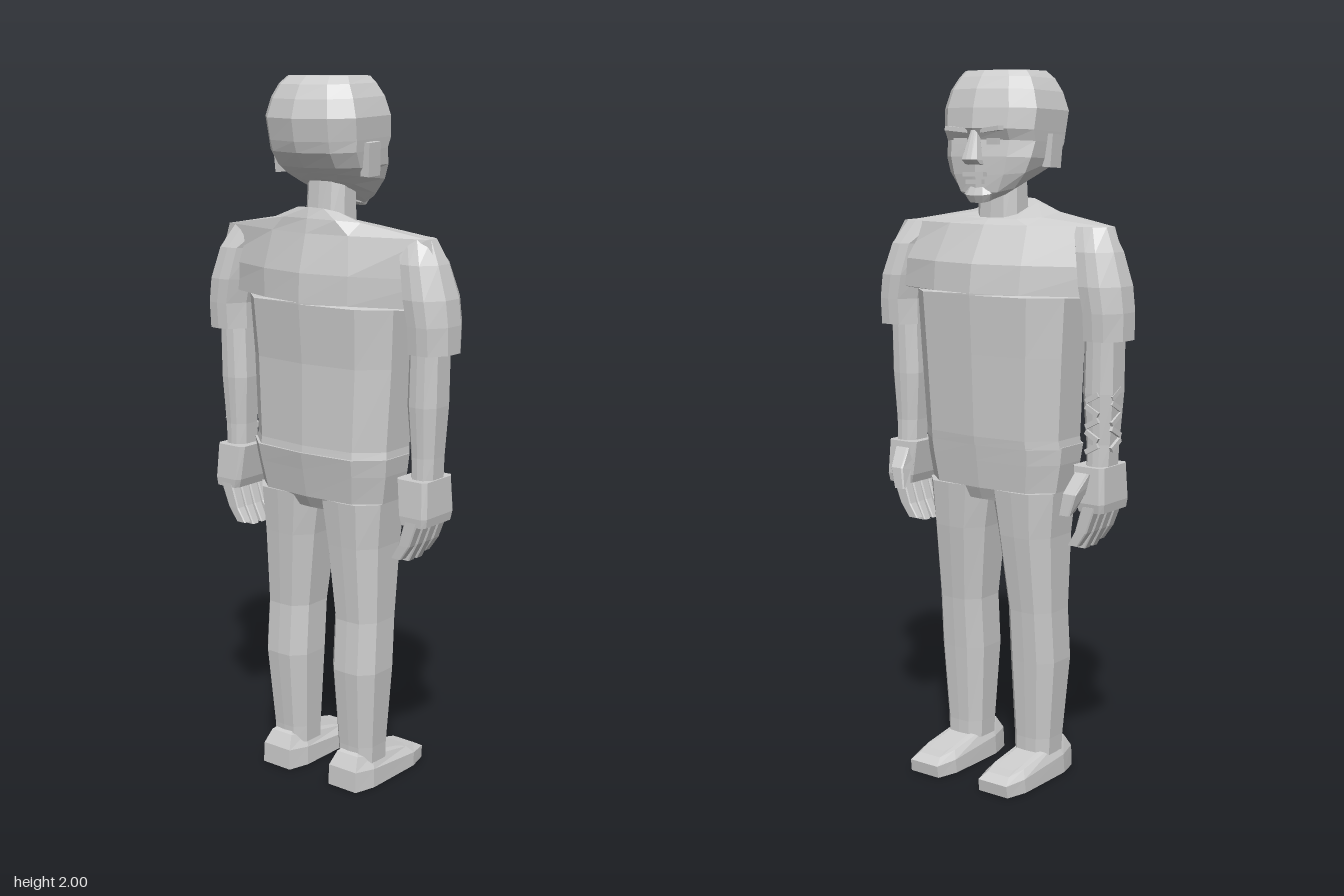
import * as THREE from 'three';

const grey = new THREE.MeshStandardMaterial({ color: 0xcccccc, flatShading: true });
grey.name = 'plain grey';

// Lofts ten-sided sections, listed from bottom to top.
// Section: [y at front, y at back, centre x, half width, z front, z back]
// Shape: [flat width, depth at the flat's ends, depth of the side], as fractions
function loft(name, sections, shape = [0.6, 0.92, 0.45], s = 1) {
  const pos = [], idx = [], N = 10;
  sections.forEach(([yf, yb, cx, hw, zf, zb, own]) => {
    const [kx, ke, kz] = own || shape;
    const half = [[0, 1], [kx, ke], [1, kz], [1, -kz], [kx, -ke], [0, -1]];
    const ring = half.concat([[-kx, -ke], [-1, -kz], [-1, kz], [-kx, ke]]);
    for (const [u, v] of ring) {
      const t = (v + 1) / 2;
      pos.push(s * cx + u * hw, yf + (yb - yf) * t, zf + (zb - zf) * t);
    }
  });
  const last = sections.length - 1;
  for (let i = 0; i < last; i++) for (let j = 0; j < N; j++) {
    const a = i * N + j, b = i * N + (j + 1) % N;
    idx.push(a, b, b + N, a, b + N, a + N);
  }
  for (let j = 1; j < N - 1; j++) {
    idx.push(0, j + 1, j);
    idx.push(last * N, last * N + j, last * N + j + 1);
  }
  const g = new THREE.BufferGeometry();
  g.setAttribute('position', new THREE.Float32BufferAttribute(pos, 3));
  g.setIndex(idx);
  const flat = g.toNonIndexed();
  flat.computeVertexNormals();
  const m = new THREE.Mesh(flat, grey);
  m.name = name;
  return m;
}

function box(name, size, at, rot = [0, 0, 0]) {
  const m = new THREE.Mesh(new THREE.BoxGeometry(...size), grey);
  m.name = name;
  m.position.set(...at);
  m.rotation.set(...rot);
  return m;
}

const BLOCK = [0.8, 1, 0.8];

function makeHead() {
  const head = new THREE.Group();
  head.name = 'head';
  head.add(loft('skull', [
    [1.65, 1.72, 0, 0.06, -0.085, 0.07],
    [1.67, 1.73, 0, 0.095, -0.1, 0.09],
    [1.72, 1.745, 0, 0.128, -0.104, 0.115],
    [1.77, 1.76, 0, 0.144, -0.106, 0.14],
    [1.815, 1.8, 0, 0.15, -0.1, 0.17],
    [1.845, 1.83, 0, 0.153, -0.118, 0.18],
    [1.9, 1.89, 0, 0.157, -0.112, 0.19],
    [1.95, 1.94, 0, 0.142, -0.097, 0.176],
    [1.983, 1.978, 0, 0.122, -0.075, 0.155],
    [2, 2, 0, 0.104, -0.06, 0.128],
  ], [0.66, 0.86, 0.5]));
  // Face
  head.add(loft('nose', [
    [1.752, 1.745, 0, 0.026, -0.125, -0.09],
    [1.762, 1.76, 0, 0.026, -0.145, -0.09],
    [1.84, 1.84, 0, 0.01, -0.115, -0.09],
  ]));
  head.add(box('upperLip', [0.07, 0.012, 0.02], [0, 1.722, -0.104]));
  head.add(box('lowerLip', [0.055, 0.012, 0.02], [0, 1.702, -0.102]));
  head.add(loft('chinBeard', [
    [1.645, 1.66, 0, 0.035, -0.1, -0.05],
    [1.665, 1.68, 0, 0.045, -0.11, -0.05],
    [1.688, 1.69, 0, 0.035, -0.1, -0.05],
  ]));
  for (const s of [1, -1]) {
    head.add(box('brow', [0.07, 0.012, 0.02], [s * 0.058, 1.842, -0.106], [0, s * 0.15, s * 0.1]));
    head.add(box('eye', [0.042, 0.018, 0.01], [s * 0.055, 1.81, -0.095], [0, s * 0.15, 0]));
    head.add(box('ear', [0.028, 0.09, 0.05], [s * 0.152, 1.785, 0.045], [0.05, 0, s * -0.06]));
  }
  return head;
}

function makeShirt() {
  const shirt = new THREE.Group();
  shirt.name = 'shirt';
  const wide = [0.38, 0.82, 0.2], body = [0.7, 0.88, 0.4];
  shirt.add(loft('shirtBody', [
    [0.975, 0.975, 0, 0.235, -0.11, 0.155],
    [1.0, 1.0, 0, 0.232, -0.113, 0.152],
    [1.23, 1.23, 0, 0.245, -0.123, 0.152],
    [1.395, 1.395, 0, 0.255, -0.132, 0.165],
    [1.4, 1.4, 0, 0.385, -0.132, 0.165, wide],
    [1.48, 1.48, 0, 0.39, -0.122, 0.162, wide],
    [1.585, 1.585, 0, 0.35, -0.065, 0.135, wide],
    [1.6, 1.625, 0, 0.15, -0.045, 0.128, [0.6, 0.9, 0.5]],
    [1.605, 1.655, 0, 0.075, -0.025, 0.12, [0.6, 0.9, 0.5]],
  ], body));
  for (const s of [1, -1]) {
    shirt.add(loft('sleeve', [
      [1.285, 1.285, 0.354, 0.064, -0.055, 0.105],
      [1.36, 1.36, 0.354, 0.064, -0.06, 0.11],
      [1.43, 1.43, 0.342, 0.068, -0.062, 0.112],
      [1.52, 1.52, 0.32, 0.062, -0.045, 0.098],
      [1.585, 1.585, 0.29, 0.06, -0.01, 0.065],
    ], [0.5, 0.95, 0.35], s));
  }
  return shirt;
}

function makeArm(s) {
  const arm = new THREE.Group();
  arm.name = s > 0 ? 'armPlusX' : 'armMinusX';
  arm.add(loft('forearm', [
    [0.92, 0.92, 0.337, 0.035, -0.025, 0.075],
    [1.0, 1.0, 0.338, 0.038, -0.022, 0.075],
    [1.14, 1.14, 0.338, 0.048, -0.03, 0.085],
    [1.32, 1.32, 0.342, 0.046, -0.032, 0.085],
  ], [0.5, 0.95, 0.5], s));
  arm.add(loft('palm', [
    [0.815, 0.815, 0.338, 0.04, -0.04, 0.1],
    [0.84, 0.84, 0.336, 0.046, -0.045, 0.102],
    [0.94, 0.94, 0.328, 0.05, -0.04, 0.095],
  ], BLOCK, s));
  for (let i = 0; i < 4; i++) {
    const z = 0.084 - i * 0.037, drop = i === 0 || i === 3 ? 0.012 : 0;
    arm.add(loft('finger', [
      [0.702 + drop, 0.702 + drop, 0.285, 0.017, z - 0.013, z + 0.013],
      [0.755, 0.755, 0.312, 0.019, z - 0.015, z + 0.015],
      [0.83, 0.83, 0.338, 0.022, z - 0.017, z + 0.017],
    ], BLOCK, s));
  }
  arm.add(loft('thumb', [
    [0.81, 0.82, 0.292, 0.018, -0.094, -0.06],
    [0.87, 0.86, 0.305, 0.022, -0.09, -0.045],
    [0.925, 0.9, 0.318, 0.024, -0.05, 0.01],
  ], BLOCK, s));
  return arm;
}

// Thin raised marks around one forearm
function makeForearmMarks() {
  const marks = new THREE.Group();
  marks.name = 'forearmMarks';
  for (let i = 0; i < 5; i++) {
    const y = 0.99 + i * 0.035, tilt = i % 2 ? 0.5 : -0.5;
    marks.add(box('frontMark', [0.045, 0.014, 0.009], [-0.338, y, -0.028], [0, 0, tilt]));
    marks.add(box('sideMark', [0.009, 0.014, 0.05], [-0.383, y + 0.01, 0.02], [tilt, 0, 0]));
  }
  return marks;
}

function makeLeg(s) {
  const leg = new THREE.Group();
  leg.name = s > 0 ? 'legPlusX' : 'legMinusX';
  leg.add(loft('trouserLeg', [
    [0.07, 0.07, 0.122, 0.06, -0.03, 0.095],
    [0.12, 0.12, 0.122, 0.062, -0.03, 0.097],
    [0.35, 0.35, 0.125, 0.076, -0.044, 0.118],
    [0.5, 0.5, 0.124, 0.075, -0.055, 0.108],
    [0.72, 0.72, 0.115, 0.09, -0.08, 0.122],
    [0.85, 0.85, 0.11, 0.107, -0.09, 0.132],
  ], [0.55, 0.97, 0.5], s));
  leg.add(loft('shoe', [
    [0, 0, 0.124, 0.068, -0.188, 0.13],
    [0.035, 0.06, 0.124, 0.066, -0.193, 0.128],
    [0.052, 0.098, 0.124, 0.05, -0.165, 0.105],
    [0.058, 0.108, 0.124, 0.035, -0.13, 0.09],
  ], [0.74, 1, 0.6], s));
  return leg;
}

export function createModel() {
  const figure = new THREE.Group();
  figure.name = 'standingFigure';
  figure.add(makeHead());
  figure.add(loft('neck', [
    [1.57, 1.6, 0, 0.068, -0.035, 0.085],
    [1.77, 1.77, 0, 0.064, -0.03, 0.07],
  ]));
  figure.add(makeShirt());
  // Hips taper up between the legs at the crotch
  figure.add(loft('hips', [
    [0.815, 0.815, 0, 0.2, -0.075, 0.115],
    [0.85, 0.85, 0, 0.217, -0.09, 0.135],
    [0.93, 0.93, 0, 0.232, -0.1, 0.15],
    [0.98, 0.98, 0, 0.238, -0.106, 0.16],
  ], [0.7, 0.9, 0.4]));
  for (const s of [1, -1]) figure.add(makeArm(s), makeLeg(s));
  figure.add(makeForearmMarks());
  return figure;
}
